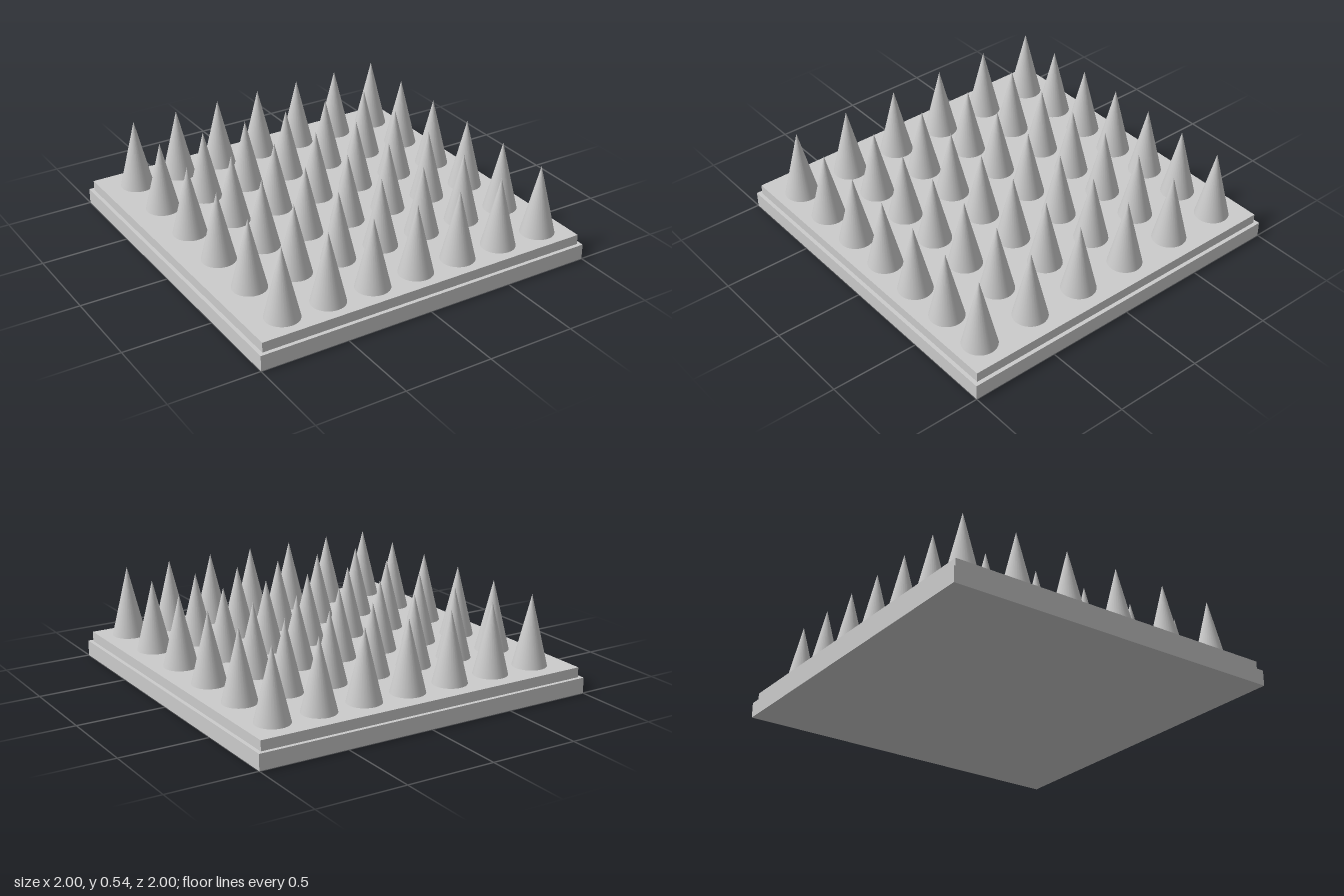
import * as THREE from 'three';

export function createModel() {
  const model = new THREE.Group();
  model.name = 'spikeBoard';
  const material = new THREE.MeshStandardMaterial({ color: 0xcccccc });

  // Square slab spanning the heights bottom to top
  function addSlab(name, size, bottom, top) {
    const slab = new THREE.Mesh(new THREE.BoxGeometry(size, top - bottom, size), material);
    slab.name = name;
    slab.position.y = (bottom + top) / 2;
    model.add(slab);
  }
  const plateTop = 0.144;
  addSlab('basePlate', 2, 0, 0.088);
  addSlab('upperPlate', 1.956, 0.088, plateTop);

  // Grid of spikes, 7 across and 6 deep, sitting slightly off centre
  const spikes = new THREE.Group();
  spikes.name = 'spikes';
  const height = 0.397;
  const cone = new THREE.ConeGeometry(0.095, height, 32);
  const columns = 7, rows = 6;
  for (let row = 0; row < rows; row++) {
    for (let col = 0; col < columns; col++) {
      const spike = new THREE.Mesh(cone, material);
      spike.name = `spike_${row + 1}_${col + 1}`;
      spike.position.set(-0.781 + col * 0.266, plateTop + height / 2, -0.806 + row * 0.3275);
      spikes.add(spike);
    }
  }
  model.add(spikes);

  return model;
}
